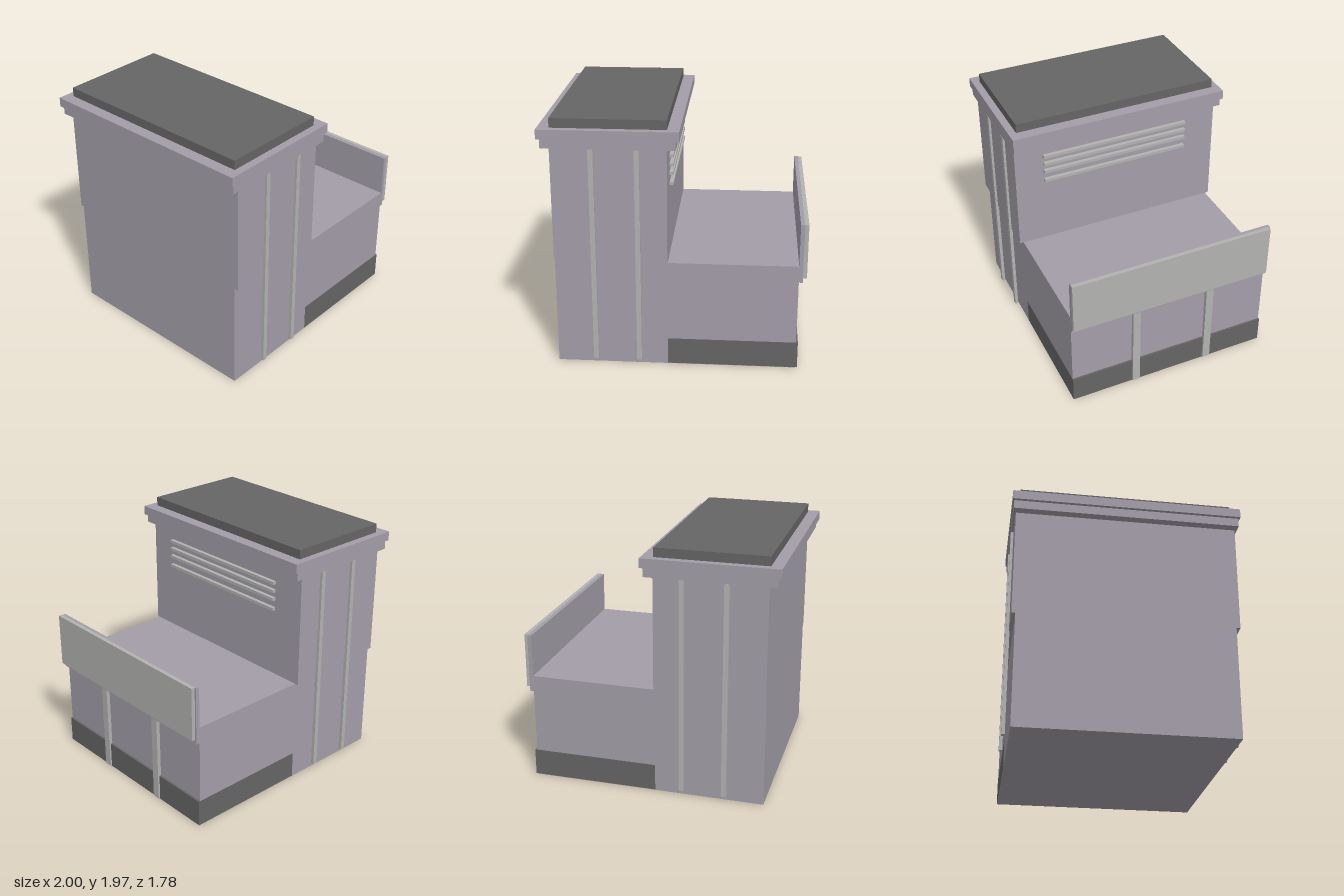
import * as THREE from 'three';

export function createModel() {
  const model = new THREE.Group();
  const mat = (color) => new THREE.MeshStandardMaterial({ color, flatShading: true });
  const wall = mat(0xa39da8), dark = mat(0x656565), trim = mat(0xb2b2b0);

  // Box given by its limits on each axis
  function box(name, material, [x0, x1], [y0, y1], [z0, z1]) {
    const mesh = new THREE.Mesh(new THREE.BoxGeometry(x1 - x0, y1 - y0, z1 - z0), material);
    mesh.position.set((x0 + x1) / 2, (y0 + y1) / 2, (z0 + z1) / 2);
    mesh.name = name;
    model.add(mesh);
  }

  // Lower block and its dark plinth
  box('lowerBlock', wall, [-0.91, 0.937], [0, 0.855], [-0.829, 0.834]);
  box('plinth', dark, [-0.05, 0.952], [0.004, 0.217], [-0.831, 0.836]);

  // Upper block, slightly wider, with a sloping lower edge
  const side = new THREE.Shape([
    new THREE.Vector2(-0.91, 0.89), new THREE.Vector2(-0.05, 0.855),
    new THREE.Vector2(-0.05, 1.755), new THREE.Vector2(-0.91, 1.755),
  ]);
  const upper = new THREE.Mesh(
    new THREE.ExtrudeGeometry(side, { depth: 1.722, bevelEnabled: false }), wall);
  upper.position.z = -0.858;
  upper.name = 'upperBlock';
  model.add(upper);

  // Wedge closing the lower block up to the sloping edge
  const wedgeShape = new THREE.Shape([
    new THREE.Vector2(-0.91, 0.85), new THREE.Vector2(-0.05, 0.85),
    new THREE.Vector2(-0.05, 0.855), new THREE.Vector2(-0.91, 0.89),
  ]);
  const wedge = new THREE.Mesh(
    new THREE.ExtrudeGeometry(wedgeShape, { depth: 1.663, bevelEnabled: false }), wall);
  wedge.position.z = -0.829;
  wedge.name = 'lowerBlockTop';
  model.add(wedge);

  // Two-step cornice and roof slab
  box('lowerCornice', wall, [-0.975, 0.016], [1.753, 1.822], [-0.877, 0.881]);
  box('upperCornice', wall, [-1, 0.042], [1.822, 1.895], [-0.888, 0.892]);
  box('roofSlab', dark, [-0.91, -0.05], [1.895, 1.967], [-0.83, 0.833]);

  // Tall strips on both side walls
  for (const x of [-0.607, -0.27])
    for (const [z0, z1] of [[0.857, 0.882], [-0.879, -0.853]])
      box('wallStrip', trim, [x - 0.019, x + 0.019], [0.05, 1.753], [z0, z1]);

  // Horizontal slats above the terrace
  for (const y of [1.635, 1.567, 1.5, 1.418])
    box('slat', trim, [-0.052, -0.02], [y - 0.012, y + 0.012], [-0.59, 0.632]);

  // Parapet with its facing panel
  box('parapet', wall, [0.937, 0.968], [0.725, 1.19], [-0.829, 0.835]);
  box('parapetPanel', trim, [0.966, 0.998], [0.76, 1.192], [-0.816, 0.835]);

  // Pilasters below the parapet
  for (const z of [0.299, -0.333])
    box('pilaster', trim, [0.935, 0.966], [0.012, 0.726], [z - 0.031, z + 0.031]);

  return model;
}
